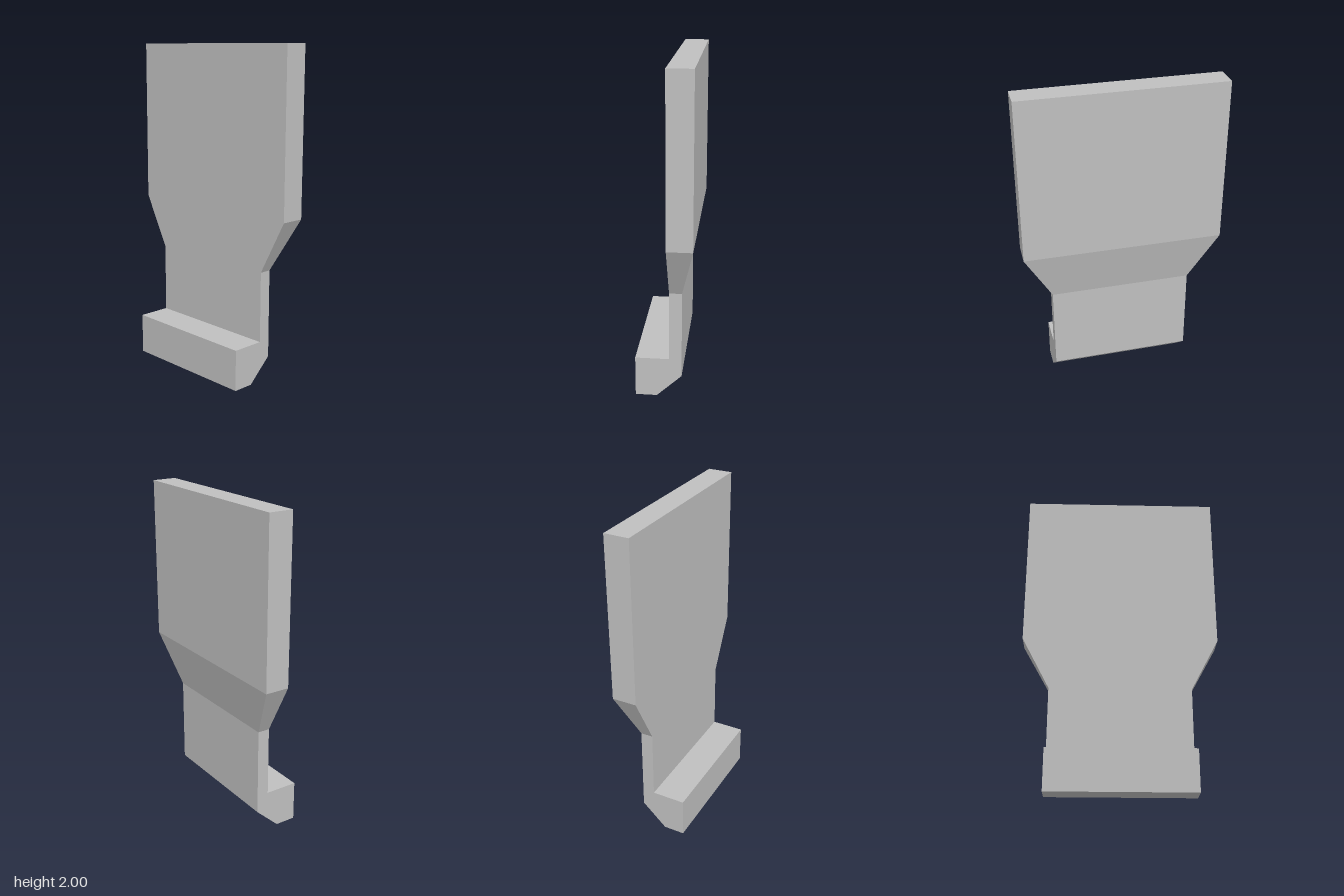
import * as THREE from 'three';

// Rectangular cross-sections, bottom to top: [y, half width, back z, front z]
const SOLE = [0, 0.432, 0.048, 0.177];
const HEEL = [0.14, 0.432, -0.102, 0.177];
const LEDGE_OUTER = [0.25, 0.432, -0.102, 0.177];
const LEDGE_INNER = [0.25, 0.432, -0.102, -0.027];
const NECK_TOP = [0.68, 0.432, -0.102, -0.027];
const SHOULDER_TOP = [1.005, 0.603, -0.177, -0.027];
const PANEL_TOP = [2, 0.603, -0.177, -0.027];

const ring = ([y, w, back, front]) => [
  new THREE.Vector3(w, y, front),
  new THREE.Vector3(w, y, back),
  new THREE.Vector3(-w, y, back),
  new THREE.Vector3(-w, y, front),
];

// Skins the sections with flat faces; ends are closed only where asked
function loft(sections, capBottom = false, capTop = false) {
  const points = [];
  const triangle = (a, b, c) => {
    if (new THREE.Triangle(a, b, c).getArea() > 1e-6) points.push(a, b, c);
  };
  const quad = (a, b, c, d) => {
    triangle(a, b, c);
    triangle(a, c, d);
  };
  const rings = sections.map(ring);
  for (let s = 0; s < rings.length - 1; s++) {
    const lower = rings[s], upper = rings[s + 1];
    for (let i = 0; i < 4; i++) {
      const j = (i + 1) % 4;
      quad(lower[i], lower[j], upper[j], upper[i]);
    }
  }
  if (capBottom) quad(...[...rings[0]].reverse());
  if (capTop) quad(...rings[rings.length - 1]);
  const geometry = new THREE.BufferGeometry().setFromPoints(points);
  geometry.computeVertexNormals();
  return geometry;
}

export function createModel() {
  const grey = new THREE.MeshStandardMaterial({ color: 0xbfbfbf });
  grey.name = 'plain grey';

  const model = new THREE.Group();
  model.name = 'bracketPlate';
  const add = (name, geometry) => {
    const mesh = new THREE.Mesh(geometry, grey);
    mesh.name = name;
    model.add(mesh);
  };

  // Forward-stepping foot with a bevelled heel and a flat ledge
  add('foot', loft([SOLE, HEEL, LEDGE_OUTER, LEDGE_INNER], true));
  // Thin neck, flaring out and back into the thick panel
  add('neck', loft([LEDGE_INNER, NECK_TOP]));
  add('shoulder', loft([NECK_TOP, SHOULDER_TOP]));
  add('panel', loft([SHOULDER_TOP, PANEL_TOP], false, true));

  return model;
}
